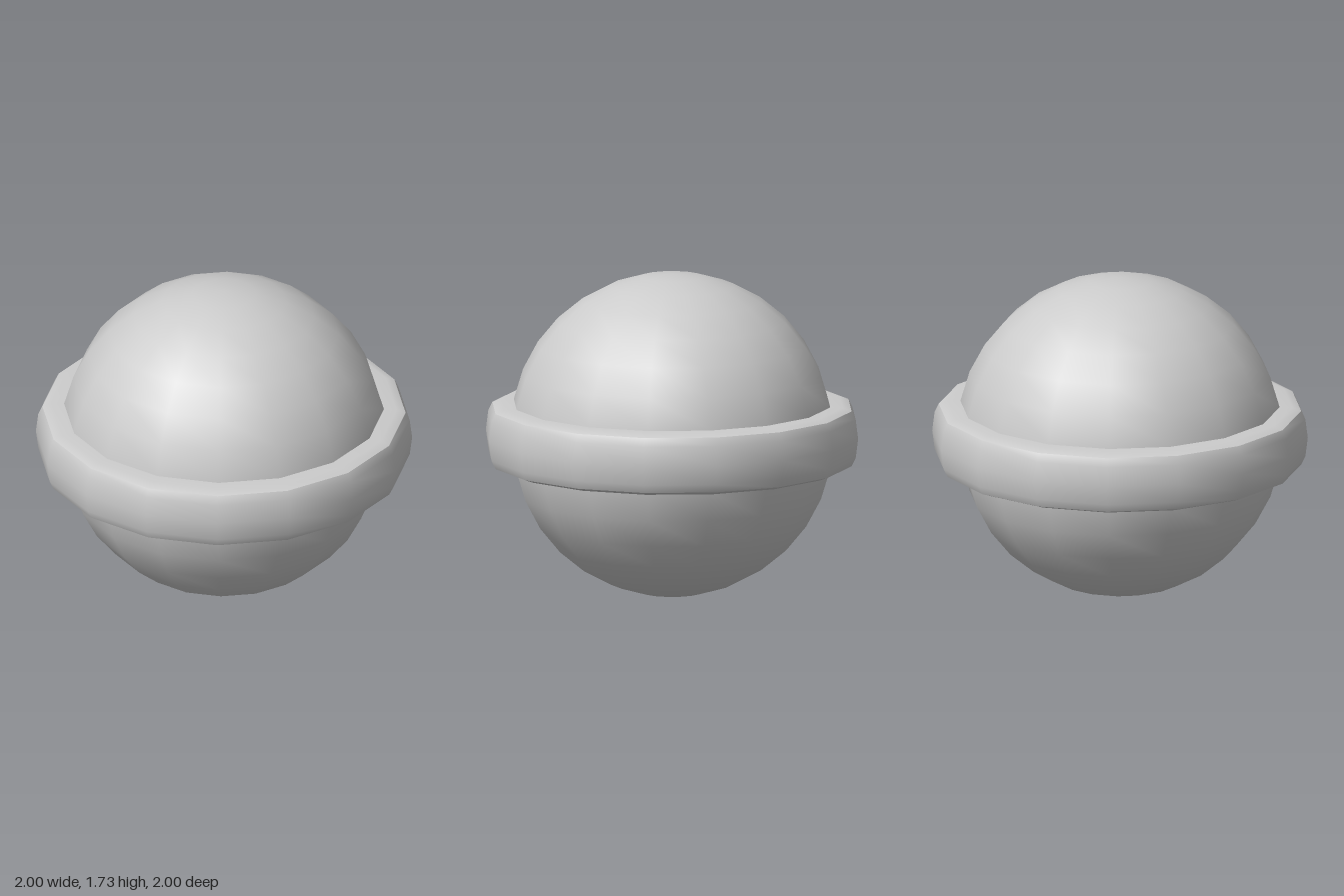
import * as THREE from 'three';

const MID = 0.868; // height of the equator
const SIDES = 16;

export function createModel() {
  const group = new THREE.Group();
  const material = new THREE.MeshStandardMaterial({ color: 0xcccccc });

  const add = (name, geometry, parent = group) => {
    const mesh = new THREE.Mesh(geometry, material);
    mesh.name = name;
    parent.add(mesh);
    return mesh;
  };
  const lathe = (points) =>
    new THREE.LatheGeometry(points.map(([r, y]) => new THREE.Vector2(r, y)), SIDES);

  // Ball
  add('ball', new THREE.SphereGeometry(0.866, SIDES, 16)).position.y = MID;

  // Equatorial ring: three smooth bands meeting in sharp edges
  const ring = new THREE.Group();
  ring.name = 'ring';
  ring.position.y = MID;
  group.add(ring);

  const top = [[0.965, 0.148], [0.917, 0.166], [0.8, 0.166]];
  const mirrored = top.map(([r, y]) => [r, -y]).reverse();
  add('ringTop', lathe(top), ring);
  add('ringBottom', lathe(mirrored), ring);
  add('ringSide', lathe([
    [0.965, -0.148], [0.987, -0.103], [1, 0], [0.987, 0.103], [0.965, 0.148],
  ]), ring);

  return group;
}
